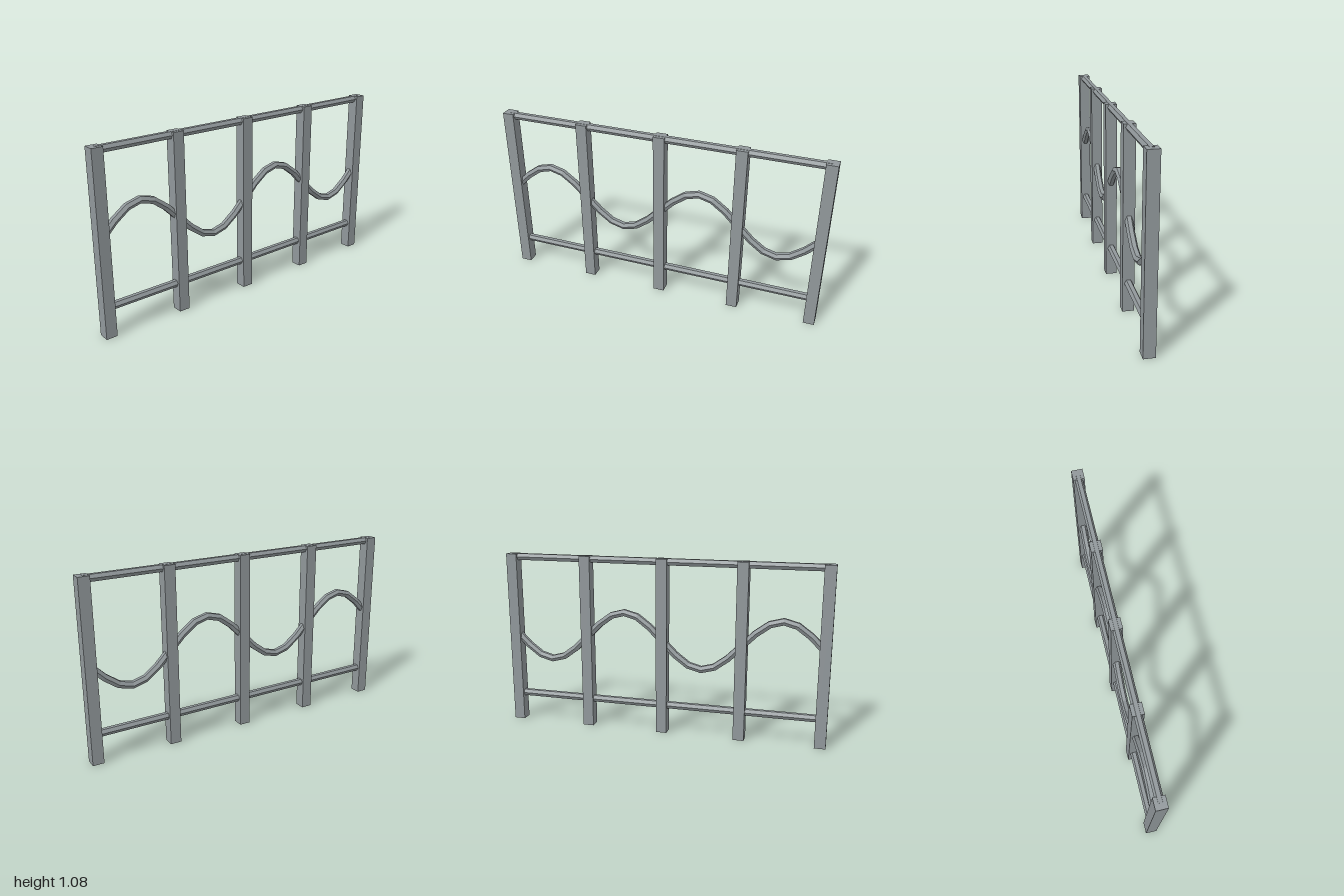
import * as THREE from 'three';

const SPAN = 0.9665;     // half distance between the outer post centres
const POST = 0.067;      // post thickness
const HEIGHT = 1.081;    // post height
const BAR = 0.023;       // radius of the six-sided bars

// Two full sine periods, sampled evenly along x
class WaveCurve extends THREE.Curve {
  getPoint(t, target = new THREE.Vector3()) {
    return target.set(SPAN * (2 * t - 1), 0.581 + 0.162 * Math.sin(t * Math.PI * 4), 0);
  }
  getUtoTmapping(u) {
    return u;
  }
}

export function createModel() {
  const group = new THREE.Group();
  group.name = 'fence';
  // Blue-grey painted metal
  const material = new THREE.MeshStandardMaterial({ color: 0x91989b, flatShading: true });

  const add = (name, geometry, x, y) => {
    const mesh = new THREE.Mesh(geometry, material);
    mesh.name = name;
    mesh.position.set(x, y, 0);
    group.add(mesh);
  };

  // Five square posts
  const postGeometry = new THREE.BoxGeometry(POST, HEIGHT, POST);
  for (let i = -2; i <= 2; i++) add('post' + (i + 3), postGeometry, (i * SPAN) / 2, HEIGHT / 2);

  // Straight hexagonal rails, flat side up, ending inside the outer posts
  const railGeometry = new THREE.CylinderGeometry(BAR, BAR, SPAN * 2, 6).rotateZ(Math.PI / 2);
  add('topRail', railGeometry, 0, 1.0625);
  add('bottomRail', railGeometry, 0, 0.175);

  // Wavy middle bar
  add('waveBar', new THREE.TubeGeometry(new WaveCurve(), 24, BAR, 6, false), 0, 0);

  return group;
}
